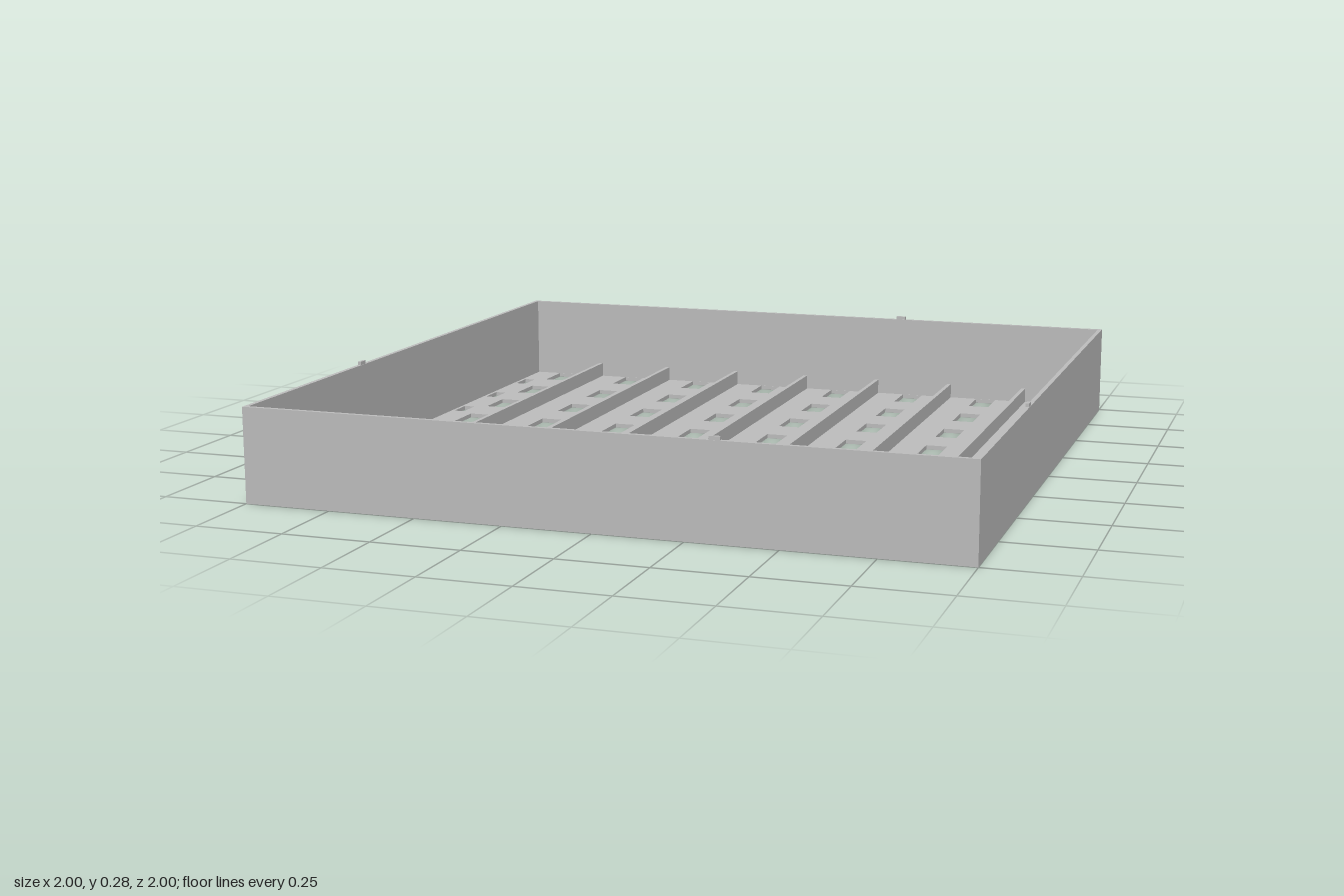
import * as THREE from 'three';

const WALL = 0.0125;   // sheet thickness
const HEIGHT = 0.267;  // wall height
const PITCH = 0.25;    // spacing of ribs and slots

export function createModel() {
  const tray = new THREE.Group();
  tray.name = 'slottedTray';
  const grey = new THREE.MeshStandardMaterial({ color: 0xbebebe });
  grey.name = 'plain grey';

  const box = (name, w, h, d, x, y, z) => {
    const mesh = new THREE.Mesh(new THREE.BoxGeometry(w, h, d), grey);
    mesh.name = name;
    mesh.position.set(x, y + h / 2, z);
    tray.add(mesh);
  };

  // Floor plate, drawn in x/z and pierced with slots
  const inner = 1 - WALL;
  const floor = new THREE.Shape();
  floor.moveTo(-inner, -inner).lineTo(inner, -inner).lineTo(inner, inner).lineTo(-inner, inner).closePath();
  const slot = (x, z, w, d) => {
    const hole = new THREE.Path();
    hole.moveTo(x - w / 2, z - d / 2).lineTo(x - w / 2, z + d / 2)
      .lineTo(x + w / 2, z + d / 2).lineTo(x + w / 2, z - d / 2).closePath();
    floor.holes.push(hole);
  };
  for (let row = 0; row < 8; row++) {
    for (let col = 0; col < 8; col++) {
      slot(-0.875 + col * PITCH, -0.924 + row * PITCH, 0.064, 0.124);
    }
    // Small slots along both side walls
    for (const side of [-1, 1]) slot(side * 0.961, -0.802 + row * PITCH, 0.033, 0.08);
  }
  const floorGeometry = new THREE.ExtrudeGeometry(floor, { depth: WALL, bevelEnabled: false });
  floorGeometry.rotateX(Math.PI / 2).translate(0, WALL, 0);
  const floorMesh = new THREE.Mesh(floorGeometry, grey);
  floorMesh.name = 'slottedFloor';
  tray.add(floorMesh);

  // Walls, with one small locating tab on top of each
  for (const side of [-1, 1]) {
    const mid = side * (1 - WALL / 2);
    box(side > 0 ? 'frontWall' : 'backWall', 2, HEIGHT, WALL, 0, 0, mid);
    box(side > 0 ? 'leftWall' : 'rightWall', WALL, HEIGHT, 2 * inner, mid, 0, 0);
    box(side > 0 ? 'frontTab' : 'backTab', 0.03, 0.01, 0.009, 0.33, HEIGHT, mid);
    box(side > 0 ? 'leftTab' : 'rightTab', 0.009, 0.01, 0.03, mid, HEIGHT, 0.33);
  }

  // Low ribs dividing the floor into eight lanes
  for (let i = -3; i <= 3; i++) {
    box('dividerRib', WALL, 0.045, 2 * inner, i * PITCH, WALL, 0);
  }
  return tray;
}
